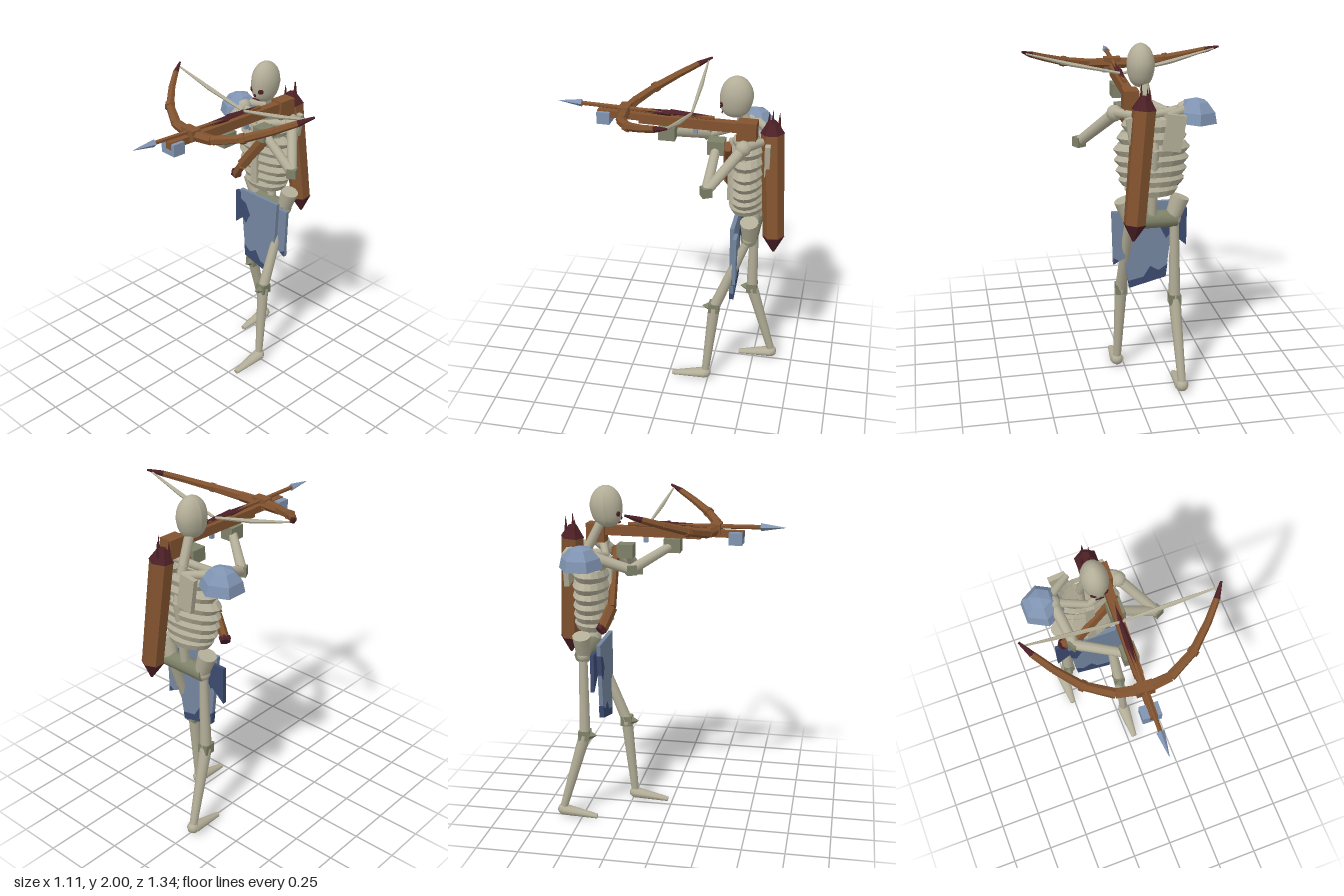
import * as THREE from 'three';

const mat = (name, color) => {
  const m = new THREE.MeshStandardMaterial({ color });
  m.name = name;
  return m;
};
const bone = mat('bone', 0xb3ae98);
const darkBone = mat('dark bone', 0x7f8269);
const wood = mat('wood', 0x82532f);
const maroon = mat('maroon', 0x4c2026);
const steel = mat('steel', 0x8094b2);
const cloth = mat('cloth', 0x74869f);
const darkCloth = mat('dark cloth', 0x3c4a70);

const V = (a) => new THREE.Vector3(...a);
const UP = new THREE.Vector3(0, 1, 0);

// Faceted copy of a geometry
function flat(geo) {
  const g = geo.index ? geo.toNonIndexed() : geo;
  g.computeVertexNormals();
  return g;
}

function add(parent, name, geo, material, pos = [0, 0, 0]) {
  const m = new THREE.Mesh(geo, material);
  m.name = name;
  m.position.set(...pos);
  parent.add(m);
  return m;
}

const box = (parent, name, size, pos, material) =>
  add(parent, name, new THREE.BoxGeometry(...size), material, pos);

// Tapered rod between two points
function rod(parent, name, a, b, ra, rb, material, sides = 10) {
  const p = V(a), q = V(b), d = q.clone().sub(p);
  let geo = new THREE.CylinderGeometry(rb, ra, d.length(), sides);
  if (sides < 8) geo = flat(geo);
  const m = add(parent, name, geo, material);
  m.position.copy(p).add(q).multiplyScalar(0.5);
  m.quaternion.setFromUnitVectors(UP, d.normalize());
  return m;
}

const ball = (parent, name, pos, r, material) =>
  add(parent, name, new THREE.SphereGeometry(r, 10, 8), material, pos);

// Flat sheet cut from an outline
function sheet(parent, name, points, z, depth, material) {
  const shape = new THREE.Shape(points.map(([x, y]) => new THREE.Vector2(x, y)));
  const geo = new THREE.ExtrudeGeometry(shape, { depth, bevelEnabled: false });
  return add(parent, name, geo, material, [0, 0, z]);
}

function buildHead(root) {
  const g = new THREE.Group();
  g.name = 'head';
  g.position.set(-0.06, 1.88, -0.365);
  root.add(g);
  // Skull narrows below the eyes into a jaw
  const skull = new THREE.SphereGeometry(1, 18, 14);
  const p = skull.attributes.position;
  for (let i = 0; i < p.count; i++) {
    const y = p.getY(i), t = Math.max(0, -y);
    const wide = 1 + 0.35 * t * t;
    p.setXYZ(i, p.getX(i) * 0.076 * wide * (1 - 0.15 * t), y * 0.12,
      p.getZ(i) * 0.095 * wide * (1 - 0.1 * t) + 0.01 * t);
  }
  skull.computeVertexNormals();
  add(g, 'skull', skull, bone);
  for (const s of [-1, 1]) {
    const eye = add(g, 'eyeSocket', new THREE.SphereGeometry(0.018, 8, 6), maroon, [s * 0.035, -0.037, 0.079]);
    eye.scale.set(1, 0.9, 0.4);
    eye.rotation.y = s * 0.45;
  }
  const nose = add(g, 'noseHole', new THREE.SphereGeometry(0.01, 6, 5), maroon, [0, -0.065, 0.09]);
  nose.scale.z = 0.4;
  box(g, 'mouth', [0.05, 0.006, 0.006], [0, -0.092, 0.078], maroon);
}

function buildTorso(root) {
  const g = new THREE.Group();
  g.name = 'torso';
  root.add(g);
  // Spine
  const spine = [[-0.105, 1.02, -0.48], [-0.105, 1.2, -0.5], [-0.105, 1.45, -0.53], [-0.09, 1.64, -0.47], [-0.07, 1.8, -0.39]];
  for (let i = 0; i < 4; i++) rod(g, 'spine', spine[i], spine[i + 1], 0.027, 0.027, bone, 8);
  // Rib rings with sharp outer edges
  const ribs = [[1.575, 0.165], [1.505, 0.19], [1.44, 0.21], [1.38, 0.205], [1.32, 0.195], [1.265, 0.18], [1.21, 0.145]];
  ribs.forEach(([y, w]) => {
    const geo = new THREE.TorusGeometry(1, 0.16, 4, 18).rotateX(Math.PI / 2);
    geo.scale((w + 0.005) / 1.16, 0.034 / 0.16, 0.108 / 1.16);
    add(g, 'rib', flat(geo), bone, [-0.108, y, -0.44]).rotation.x = 0.06;
  });
  box(g, 'sternum', [0.05, 0.38, 0.025], [-0.108, 1.41, -0.335], bone);
  // Collar bones and shoulder blades
  const centre = -0.105;
  for (const s of [-1, 1]) {
    rod(g, 'collarBone', [centre, 1.6, -0.36], [centre + s * 0.18, 1.64, -0.42], 0.022, 0.025, bone, 8);
    box(g, 'shoulderBlade', [0.1, 0.2, 0.03], [centre + s * 0.1, 1.55, -0.56], bone).rotation.z = -s * 0.15;
    rod(g, 'shoulderBar', [centre + s * 0.06, 1.64, -0.55], [centre + s * 0.2, 1.65, -0.45], 0.02, 0.028, bone, 8);
    // Hips
    rod(g, 'hip', [centre + s * 0.115, 1.03, -0.475], [centre + s * 0.16, 1.16, -0.475], 0.042, 0.054, bone, 12);
  }
  rod(g, 'pelvis', [centre - 0.14, 1.035, -0.475], [centre + 0.14, 1.035, -0.475], 0.05, 0.05, darkBone, 10);
}

function buildLeg(root, name, hip, knee, ankle) {
  const g = new THREE.Group();
  g.name = name;
  root.add(g);
  const [kx, ky, kz] = knee, [ax, ay, az] = ankle;
  ball(g, 'hipJoint', hip, 0.038, bone);
  rod(g, 'thigh', hip, knee, 0.025, 0.034, bone);
  rod(g, 'shin', knee, ankle, 0.036, 0.023, bone);
  box(g, 'kneeBand', [0.066, 0.06, 0.065], knee, darkBone);
  // Pointed kneecap
  const cap = add(g, 'kneeCap', flat(new THREE.ConeGeometry(0.034, 0.05, 4)), darkBone, [kx, ky, kz + 0.05]);
  cap.rotation.x = Math.PI / 2;
  // Foot tapering to the toes
  ball(g, 'heel', [ax, ay - 0.01, az], 0.036, bone);
  const foot = rod(g, 'foot', [ax, ay - 0.012, az], [ax, 0.018, az + 0.21], 0.042, 0.018, bone);
  foot.scale.z = 0.75;
}

function buildArm(root, name, shoulder, elbow, hand) {
  const g = new THREE.Group();
  g.name = name;
  root.add(g);
  ball(g, 'shoulderJoint', shoulder, 0.045, bone);
  rod(g, 'upperArm', shoulder, elbow, 0.032, 0.028, bone);
  box(g, 'elbow', [0.055, 0.055, 0.055], elbow, darkBone).rotation.y = 0.5;
  rod(g, 'forearm', elbow, hand, 0.03, 0.026, bone);
  box(g, 'hand', [0.085, 0.08, 0.095], hand, darkBone);
}

function buildSkirt(root) {
  const g = new THREE.Group();
  g.name = 'skirt';
  root.add(g);
  sheet(g, 'frontPanel', [[-0.26, 1.105], [0.05, 1.105], [0.035, 0.78], [0, 0.59], [-0.21, 0.645]], -0.39, 0.024, cloth);
  sheet(g, 'leftPanel', [[0.03, 1.065], [0.108, 1.065], [0.098, 0.75], [0.03, 0.785]], -0.412, 0.022, cloth);
  sheet(g, 'rightPanel', [[-0.323, 1.065], [-0.235, 1.065], [-0.24, 0.91], [-0.323, 0.84]], -0.412, 0.022, darkCloth);
  // Worn stains, showing on both faces
  sheet(g, 'hemStain', [[-0.22, 0.72], [-0.17, 0.685], [-0.12, 0.715], [-0.08, 0.65], [0.008, 0.632], [0, 0.588], [-0.211, 0.643]], -0.392, 0.028, darkCloth);
  sheet(g, 'sideStain', [[-0.256, 1.04], [-0.21, 1.02], [-0.175, 0.95], [-0.21, 0.88], [-0.242, 0.92]], -0.392, 0.028, darkCloth);
  sheet(g, 'tipStain', [[0.065, 0.77], [0.099, 0.79], [0.098, 0.749]], -0.414, 0.026, darkCloth);
}

function buildGear(root) {
  // Quiver with pointed ends and arrow tips
  const q = new THREE.Group();
  q.name = 'quiver';
  root.add(q);
  const top = [-0.035, 1.69, -0.575], bottom = [0.02, 1.07, -0.615];
  rod(q, 'quiverBody', bottom, top, 0.062, 0.066, wood, 6);
  rod(q, 'quiverLid', top, [-0.04, 1.76, -0.57], 0.07, 0.025, maroon, 6);
  rod(q, 'quiverPoint', bottom, [0.028, 0.97, -0.62], 0.065, 0.006, maroon, 6);
  for (const [dx, dz, h] of [[-0.03, 0.025, 1.8], [0.02, 0, 1.83], [-0.005, -0.035, 1.81]])
    rod(q, 'spike', [-0.04 + dx, 1.7, -0.575 + dz], [-0.04 + dx, h, -0.575 + dz], 0.014, 0.001, maroon, 5);
  // Chest strap
  const strap = [[0.04, 1.62, -0.335], [-0.19, 1.32, -0.31], [-0.275, 1.22, -0.345]];
  for (let i = 0; i < 2; i++) rod(root, 'strap', strap[i], strap[i + 1], 0.036, 0.036, wood, 6).scale.z = 0.7;
  rod(root, 'strapEnd', strap[2], [-0.292, 1.205, -0.36], 0.037, 0.03, maroon, 6);
  // Shoulder dome
  const prof = [[0, 0], [0.125, 0], [0.11, 0.06], [0.065, 0.11], [0, 0.13]].map(([x, y]) => new THREE.Vector2(x, y));
  const dome = add(root, 'shoulderPad', flat(new THREE.LatheGeometry(prof, 6)), steel, [-0.345, 1.58, -0.445]);
  dome.rotation.z = 0.06;
}

function buildCrossbow(root) {
  const g = new THREE.Group();
  g.name = 'crossbow';
  g.position.set(-0.008, 0, 0);
  g.rotation.y = -0.045;
  root.add(g);
  box(g, 'stock', [0.05, 0.055, 0.6], [0, 1.73, -0.12], wood);
  box(g, 'foreStock', [0.042, 0.04, 0.25], [0, 1.738, 0.3], wood);
  box(g, 'butt', [0.082, 0.11, 0.11], [0, 1.715, -0.44], wood);
  box(g, 'bowMount', [0.1, 0.06, 0.06], [0, 1.765, 0.265], wood);
  box(g, 'trigger', [0.02, 0.035, 0.025], [0, 1.685, -0.145], steel);
  box(g, 'stirrup', [0.105, 0.07, 0.075], [-0.008, 1.718, 0.385], steel);
  // Loaded bolt
  rod(g, 'boltShaft', [0, 1.768, -0.25], [0, 1.783, 0.53], 0.013, 0.013, wood, 6);
  rod(g, 'boltFletching', [0, 1.772, -0.25], [0, 1.778, 0.0], 0.008, 0.02, maroon, 4);
  rod(g, 'boltGroove', [0, 1.772, 0], [0, 1.778, 0.23], 0.02, 0.008, maroon, 4);
  rod(g, 'boltHead', [0, 1.783, 0.52], [0, 1.785, 0.66], 0.023, 0.001, steel, 4);
  // Bow limbs and string, mirrored
  const limb = [[0, 1.757, 0.265], [0.15, 1.765, 0.245], [0.3, 1.8, 0.165], [0.42, 1.85, 0.05], [0.5, 1.89, -0.045], [0.55, 1.92, -0.12]];
  const radii = [0.033, 0.029, 0.025, 0.021, 0.018, 0.006];
  for (const s of [-1, 1]) {
    const pts = limb.map(([x, y, z]) => [s * x, y, z]);
    for (let i = 0; i < 5; i++)
      rod(g, i < 4 ? 'bowLimb' : 'bowTip', pts[i], pts[i + 1], radii[i], radii[i + 1], i < 4 ? wood : maroon, 6);
    rod(g, 'bowBand', [s * 0.29, 1.797, 0.172], [s * 0.312, 1.805, 0.155], 0.031, 0.031, wood, 6);
    rod(g, 'bowString', [s * 0.01, 1.785, -0.122], [s * 0.28, 1.84, -0.112], 0.008, 0.013, bone, 6);
    rod(g, 'bowString', [s * 0.28, 1.84, -0.112], [s * 0.53, 1.905, -0.1], 0.013, 0.005, bone, 6);
  }
}

export function createModel() {
  const root = new THREE.Group();
  root.name = 'skeletonArcher';
  buildHead(root);
  buildTorso(root);
  buildLeg(root, 'leftLeg', [0.02, 1.03, -0.47], [0.03, 0.54, -0.28], [0.045, 0.06, -0.235]);
  buildLeg(root, 'rightLeg', [-0.235, 1.03, -0.475], [-0.245, 0.54, -0.475], [-0.265, 0.06, -0.615]);
  buildArm(root, 'leftArm', [0.095, 1.64, -0.43], [0.262, 1.44, -0.255], [0.02, 1.61, -0.27]);
  buildArm(root, 'rightArm', [-0.29, 1.64, -0.42], [-0.255, 1.56, -0.18], [-0.01, 1.66, 0.015]);
  buildSkirt(root);
  buildGear(root);
  buildCrossbow(root);
  return root;
}
